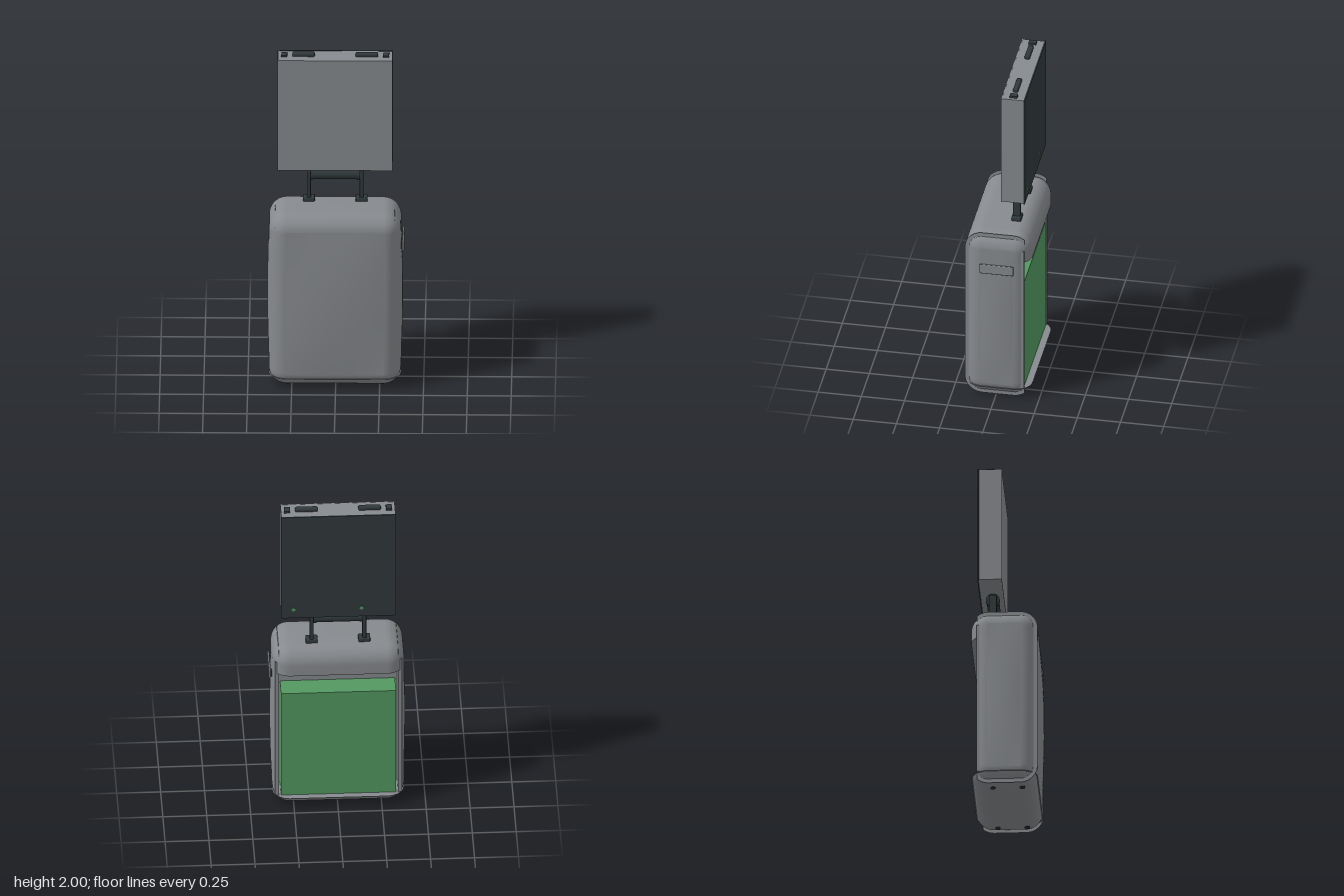
import * as THREE from 'three';
import { toCreasedNormals } from 'three/addons/utils/BufferGeometryUtils.js';
import { RoundedBoxGeometry } from 'three/addons/geometries/RoundedBoxGeometry.js';

export function createModel() {
  const root = new THREE.Group();
  root.name = 'travelCase';
  const mat = (name, color) => {
    const m = new THREE.MeshStandardMaterial({ color });
    m.name = name;
    return m;
  };
  const grey = mat('shellGrey', 0x878a8e);
  const dark = mat('charcoal', 0x313a3b);
  const green = mat('green', 0x539862);

  const add = (name, geo, material, x = 0, y = 0, z = 0, parent = root) => {
    const mesh = new THREE.Mesh(geo, material);
    mesh.name = name;
    mesh.position.set(x, y, z);
    parent.add(mesh);
    return mesh;
  };
  // Box given by its lower and upper corners
  const box = (name, material, x0, x1, y0, y1, z0, z1, radius = 0, parent = root) => {
    const size = [x1 - x0, y1 - y0, z1 - z0];
    const geo = radius ? new RoundedBoxGeometry(...size, 3, radius) : new THREE.BoxGeometry(...size);
    return add(name, geo, material, (x0 + x1) / 2, (y0 + y1) / 2, (z0 + z1) / 2, parent);
  };

  // Case shell: one rounded block, cut into slices that leave the back open
  const shell = new THREE.Group();
  shell.name = 'shell';
  root.add(shell);
  const slice = (name, rule) => {
    const geo = new RoundedBoxGeometry(0.75, 1.071, 0.38, 8, 0.1);
    geo.translate(0, 0.5395, -0.01);
    const p = geo.attributes.position;
    const v = new THREE.Vector3();
    for (let i = 0; i < p.count; i++) {
      v.fromBufferAttribute(p, i);
      rule(v);
      p.setXYZ(i, v.x, v.y, v.z);
    }
    add(name, toCreasedNormals(geo, 0.6), grey, 0, 0, 0, shell);
  };
  slice('frontShell', v => { v.z = Math.max(v.z, -0.03); });
  slice('topCap', v => { v.y = Math.max(v.y, 0.91); });
  slice('bottomCap', v => { v.y = Math.min(v.y, 0.065); });
  for (const s of [1, -1]) {
    slice('sideWall', v => {
      v.x = s * Math.max(s * v.x, 0.34);
      v.z = Math.max(v.z, -0.165);
    });
    const x = s * 0.351;
    box('wallRail', grey, x - 0.011, x + 0.011, 0.07, 0.985, -0.165, -0.1, 0, shell);
  }

  // Slightly domed faces on the front and both sides
  const dome = (name, width, height, rise) => {
    const geo = new THREE.PlaneGeometry(width, height, 20, 24);
    const p = geo.attributes.position;
    for (let i = 0; i < p.count; i++) {
      const u = 2 * p.getX(i) / width, v = 2 * p.getY(i) / height;
      p.setZ(i, rise * (1 - u * u) * (1 - v * v) + 0.0005);
    }
    geo.computeVertexNormals();
    return add(name, geo, grey, 0, 0, 0, shell);
  };
  dome('frontDome', 0.56, 0.9, 0.02).position.set(0, 0.54, 0.18);
  for (const s of [1, -1]) {
    const side = dome('sideDome', 0.19, 0.9, 0.01);
    side.position.set(s * 0.375, 0.54, -0.01);
    side.rotation.y = s * Math.PI / 2;
  }

  // Side carry handle on the left
  box('carryHandle', grey, 0.383, 0.395, 0.835, 0.895, -0.108, 0.088, 0.005);
  for (const z of [-0.09, 0.07]) {
    box('carryHandleMount', dark, 0.37, 0.386, 0.845, 0.885, z - 0.012, z + 0.012);
  }

  // Green module in the open back
  box('greenModule', green, -0.327, 0.327, 0.064, 0.764, -0.16, -0.03);

  // Pull handle: posts, sockets and a round grip
  for (const s of [1, -1]) {
    box('handleSocket', dark, s * 0.15 - 0.034, s * 0.15 + 0.034, 1.07, 1.097, -0.113, -0.057, 0.006);
    box('handlePost', dark, s * 0.15 - 0.011, s * 0.15 + 0.011, 1.07, 1.265, -0.107, -0.062, 0.006);
  }
  const grip = add('handleGrip', new THREE.CylinderGeometry(0.036, 0.036, 0.27, 32), dark, 0, 1.243, -0.085);
  grip.rotation.z = Math.PI / 2;
  for (const s of [1, -1]) {
    const collar = add('gripCollar', new THREE.CylinderGeometry(0.04, 0.04, 0.016, 32), dark, s * 0.132, 1.243, -0.085);
    collar.rotation.z = Math.PI / 2;
  }

  // Raised panel above the handle
  const panel = new THREE.Group();
  panel.name = 'raisedPanel';
  root.add(panel);
  box('panelBody', grey, -0.325, 0.325, 1.288, 1.978, -0.156, -0.03, 0, panel);
  box('panelFront', grey, -0.327, 0.327, 1.286, 1.979, -0.03, -0.024, 0, panel);
  box('panelBack', dark, -0.328, 0.328, 1.286, 1.98, -0.163, -0.155, 0, panel);
  for (const s of [1, -1]) {
    box('topPad', dark, s * 0.18 - 0.064, s * 0.18 + 0.064, 1.972, 2, -0.108, -0.078, 0.009, panel);
    box('topButton', dark, s * 0.29 - 0.017, s * 0.29 + 0.017, 1.972, 1.99, -0.115, -0.071, 0, panel);
    // Indicator lights low on the back
    const light = add('indicatorLight', new THREE.CylinderGeometry(0.011, 0.011, 0.008, 16), green,
      0.063 + s * 0.194, 1.347, -0.165, panel);
    light.rotation.x = Math.PI / 2;
  }

  // Four feet
  for (const x of [-0.27, 0.27]) for (const z of [-0.085, 0.1]) {
    add('foot', new THREE.CylinderGeometry(0.018, 0.015, 0.02, 16), dark, x, 0.01, z * 0.9);
  }

  for (const part of root.children) part.position.x -= 0.005;
  return root;
}
